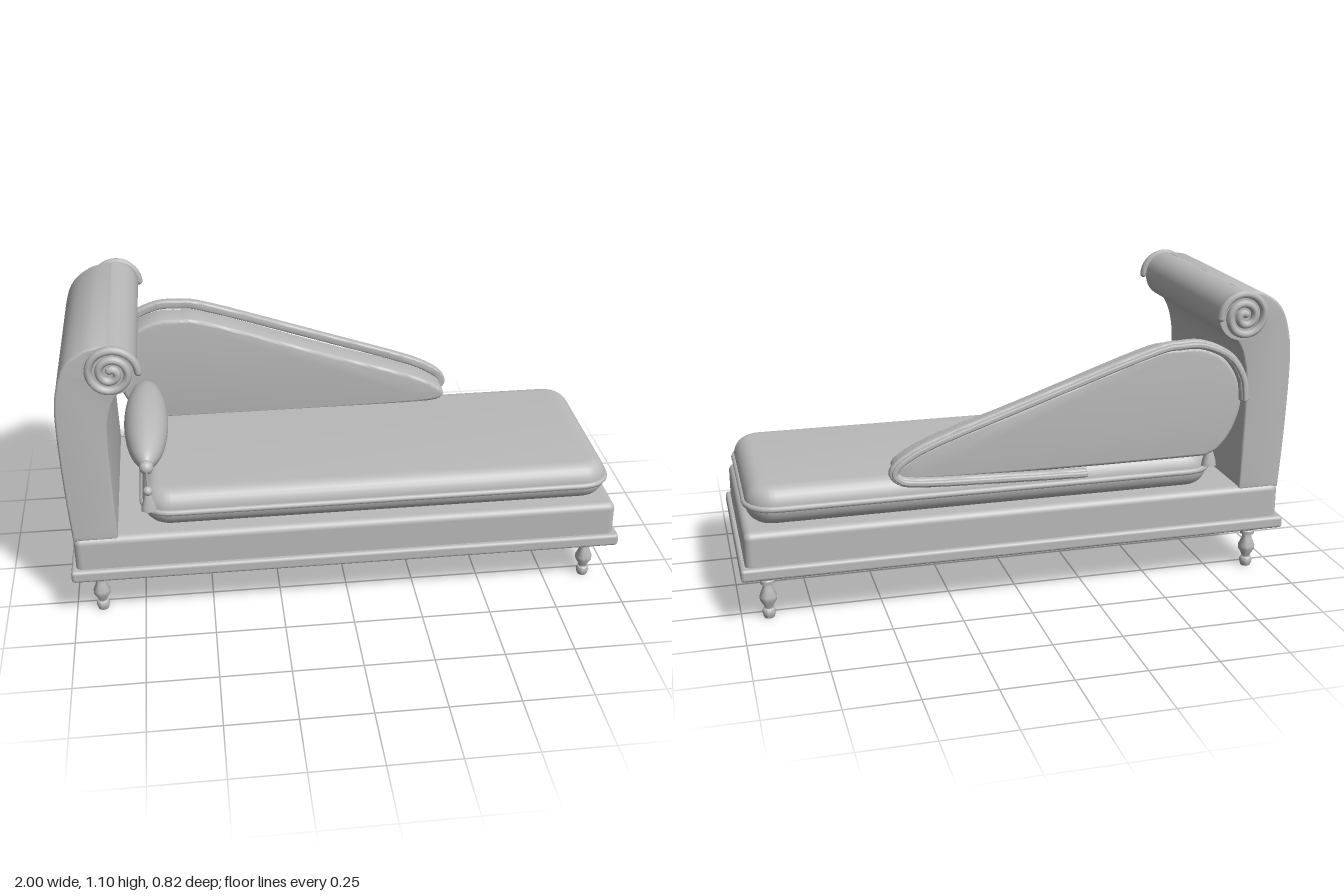
import * as THREE from 'three';
import { toCreasedNormals } from 'three/addons/utils/BufferGeometryUtils.js';
import { RoundedBoxGeometry } from 'three/addons/geometries/RoundedBoxGeometry.js';

const grey = new THREE.MeshStandardMaterial({ color: 0xbababa });
grey.name = 'plain grey';

const v2 = (pts) => pts.map(([x, y]) => new THREE.Vector2(x, y));
const smooth = (pts, n = 60) => new THREE.SplineCurve(v2(pts)).getPoints(n);

function add(parent, name, geometry, x = 0, y = 0, z = 0) {
  const mesh = new THREE.Mesh(geometry, grey);
  mesh.name = name;
  mesh.position.set(x, y, z);
  parent.add(mesh);
  return mesh;
}

// Extrusion spanning z0..z1 with a rounded edge that stays inside the outline
function slab(shape, z0, z1, bevel = 0.01, size = bevel, segments = 3) {
  const g = new THREE.ExtrudeGeometry(shape, {
    depth: z1 - z0 - 2 * bevel, bevelThickness: bevel, bevelSize: size,
    bevelOffset: -size, bevelSegments: segments, curveSegments: 10,
  });
  g.translate(0, 0, z0 + bevel);
  return toCreasedNormals(g, 0.7);
}

// Strip of constant width following an open line of points
function band(points, inner, outer) {
  const side = (d) => points.map((p, i) => {
    const a = points[Math.max(i - 1, 0)], b = points[Math.min(i + 1, points.length - 1)];
    const t = b.clone().sub(a).normalize();
    return new THREE.Vector2(p.x + t.y * d, p.y - t.x * d);
  });
  return new THREE.Shape([...side(outer), ...side(inner).reverse()]);
}

function roundedRect(x0, x1, z, r) {
  const s = new THREE.Shape();
  s.moveTo(x0 + r, -z);
  s.lineTo(x1 - r, -z);
  s.absarc(x1 - r, -z + r, r, -Math.PI / 2, 0);
  s.absarc(x1 - r, z - r, r, 0, Math.PI / 2);
  s.absarc(x0 + r, z - r, r, Math.PI / 2, Math.PI);
  s.absarc(x0 + r, -z + r, r, Math.PI, Math.PI * 1.5);
  return s;
}

function makeBase(group) {
  add(group, 'baseBoard', new RoundedBoxGeometry(2, 0.046, 0.79, 3, 0.012), 0, 0.203, 0);
  add(group, 'seatBase', new RoundedBoxGeometry(1.965, 0.15, 0.754, 4, 0.025), 0, 0.275, 0);
  // Turned legs
  const profile = v2([[0, 0], [0.018, 0], [0.021, 0.008], [0.024, 0.022], [0.021, 0.032],
    [0.015, 0.036], [0.017, 0.045], [0.03, 0.068], [0.031, 0.082], [0.019, 0.112], [0.017, 0.128],
    [0.026, 0.13], [0.027, 0.143], [0.024, 0.147], [0.035, 0.151], [0.036, 0.17], [0.012, 0.171], [0.012, 0.182]]);
  const leg = toCreasedNormals(new THREE.LatheGeometry(profile, 24), 0.7);
  for (const x of [-0.905, 0.905]) for (const z of [-0.295, 0.295]) add(group, 'leg', leg, x, 0, z);
}

function makeMattress(group) {
  const g = slab(roundedRect(-0.735, 0.965, 0.345, 0.1), 0.35, 0.49, 0.068, 0.06, 7);
  g.rotateX(-Math.PI / 2);
  add(group, 'mattress', g);
  // Piping around the middle of the mattress
  const line = roundedRect(-0.735, 0.965, 0.345, 0.1).getSpacedPoints(90).slice(0, -1)
    .map((p) => new THREE.Vector3(p.x, 0.418, p.y));
  const path = new THREE.CatmullRomCurve3(line, true);
  add(group, 'mattressPiping', new THREE.TubeGeometry(path, 180, 0.011, 8, true));
}

function makeHeadboard(group) {
  const back = smooth([[-0.982, 0.34], [-0.994, 0.55], [-1, 0.78], [-0.992, 0.91],
    [-0.955, 1.02], [-0.88, 1.078], [-0.805, 1.09]], 40);
  const front = smooth([[-0.76, 0.93], [-0.795, 0.895], [-0.822, 0.82], [-0.832, 0.7], [-0.826, 0.34]], 24);
  add(group, 'headboard', slab(new THREE.Shape([...back, ...front]), -0.37, 0.37, 0.008));
  // Rolled top
  const roll = new THREE.CylinderGeometry(0.089, 0.089, 0.745, 40).rotateX(Math.PI / 2);
  add(group, 'headboardRoll', roll, -0.803, 1.001, 0);
  // Spiral scroll on each end of the roll
  const spiral = [];
  for (let i = 0; i <= 70; i++) {
    const t = i / 70, a = t * Math.PI * 2 * 2.3, r = 0.09 - 0.08 * t;
    spiral.push(new THREE.Vector3(r * Math.cos(a), r * Math.sin(a), 0));
  }
  const curve = new THREE.CatmullRomCurve3(spiral);
  const tube = new THREE.TubeGeometry(curve, 160, 0.0135, 8).scale(1, 1, 1.25);
  for (const z of [-0.391, 0.391]) {
    add(group, 'scroll', tube, -0.8, 1.002, z);
    for (const p of [spiral[0], spiral[70]]) {
      add(group, 'scrollEnd', new THREE.SphereGeometry(0.0135, 12, 8), -0.8 + p.x, 1.002 + p.y, z);
    }
  }
}

function makeSideRest(group) {
  // Padded teardrop panel
  const panel = smooth([[-0.69, 0.482], [-0.3, 0.48], [0.1, 0.482], [0.38, 0.488], [0.45, 0.51],
    [0.43, 0.55], [0.3, 0.615], [0, 0.715], [-0.45, 0.872], [-0.57, 0.892], [-0.66, 0.888],
    [-0.745, 0.845], [-0.8, 0.765], [-0.818, 0.68], [-0.79, 0.58], [-0.74, 0.51], [-0.69, 0.482]], 110);
  panel.pop();
  add(group, 'sidePanel', slab(new THREE.Shape(panel), -0.366, -0.25, 0.012));
  // Stepped trim that wraps the tip and the upper edge
  const line = smooth([[-0.23, 0.465], [0.1, 0.474], [0.38, 0.485], [0.45, 0.505], [0.458, 0.535],
    [0.41, 0.577], [0.3, 0.628], [0, 0.732], [-0.45, 0.885], [-0.57, 0.907], [-0.66, 0.902],
    [-0.755, 0.855], [-0.808, 0.775], [-0.82, 0.69]], 110);
  add(group, 'sideTrim', slab(band(line, -0.014, 0.018), -0.388, -0.355, 0.007));
  add(group, 'sideTrimBead', slab(band(line, -0.008, 0.01), -0.4, -0.38, 0.005));
}

function makeBolster(group) {
  const bolster = new THREE.Group();
  bolster.name = 'bolster';
  bolster.position.set(-0.71, 0.6, 0);
  group.add(bolster);
  add(bolster, 'bolsterPillow', new THREE.SphereGeometry(1, 40, 28).rotateX(Math.PI / 2).scale(0.08, 0.082, 0.31));
  // Knob and hanging tassel at each end
  const skirt = v2([[0, -0.16], [0.028, -0.16], [0.025, -0.14], [0.014, -0.105], [0.01, -0.09], [0, -0.088]]);
  for (const s of [-1, 1]) {
    add(bolster, 'knob', new THREE.SphereGeometry(0.025, 20, 14), 0, 0, s * 0.325);
    add(bolster, 'cord', new THREE.CylinderGeometry(0.004, 0.004, 0.08, 8), 0, -0.045, s * 0.345);
    add(bolster, 'tasselBead', new THREE.SphereGeometry(0.017, 16, 12), 0, -0.083, s * 0.347);
    add(bolster, 'tasselSkirt', toCreasedNormals(new THREE.LatheGeometry(skirt, 16), 0.7), 0, 0, s * 0.347)
      .scale.z = 0.75;
  }
}

export function createModel() {
  const group = new THREE.Group();
  group.name = 'chaiseLounge';
  makeBase(group);
  makeMattress(group);
  makeHeadboard(group);
  makeSideRest(group);
  makeBolster(group);
  return group;
}
